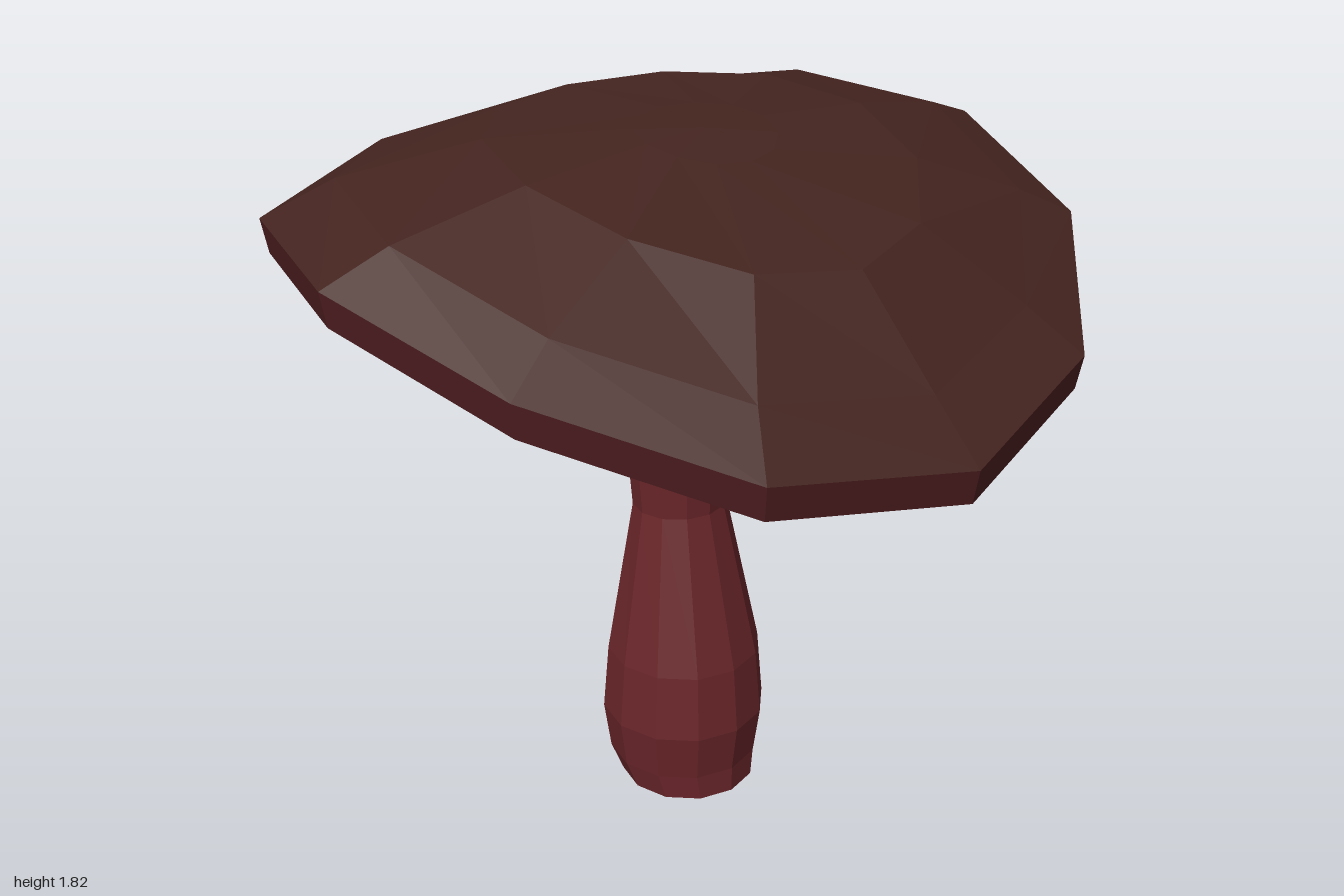
import * as THREE from 'three';

const SIDES = 12;

// Ring: centre x, radii in x and z, height y = a + b*cos + d*cos^2 (tilt and sideways droop), s = front/back tilt
const ring = (cx, rx, rz, a, b = 0, d = 0, s = 0) => ({ cx, rx, rz, a, b, d, s });

function ringPoint(r, angle) {
  const step = (2 * Math.PI) / SIDES;
  const off = angle - Math.floor(angle / step + 1e-6) * step - step / 2;
  const k = Math.cos(step / 2) / Math.cos(off); // keeps points on the twelve-sided outline
  const c = Math.cos(angle) * k, z = Math.sin(angle) * k;
  return [r.cx + r.rx * c, r.a + r.b * c + r.d * c * c + r.s * z, r.rz * z];
}

// Joins rings into a faceted skin; fluting pulls every second column inwards and up
function loft(name, rings, color, segments = SIDES, flute = 0) {
  const pos = [], index = [];
  rings.forEach((r, j) => {
    const last = j === rings.length - 1;
    for (let i = 0; i < segments; i++) {
      const p = ringPoint(r, (i / segments) * 2 * Math.PI);
      if (flute && i % 2 && !last) {
        p[0] = r.cx + (p[0] - r.cx) * 0.92;
        p[2] *= 0.92;
        p[1] += j ? flute : 0;
      }
      pos.push(...p);
      if (last) continue;
      const A = j * segments + i, B = j * segments + ((i + 1) % segments);
      const D = A + segments, C = B + segments;
      index.push(A, D, C, A, C, B);
    }
  });
  const indexed = new THREE.BufferGeometry();
  indexed.setAttribute('position', new THREE.Float32BufferAttribute(pos, 3));
  indexed.setIndex(index);
  const geometry = indexed.toNonIndexed();
  geometry.computeVertexNormals();
  const material = new THREE.MeshStandardMaterial({ color, flatShading: true, side: THREE.DoubleSide });
  const mesh = new THREE.Mesh(geometry, material);
  mesh.name = name;
  return mesh;
}

export function createModel() {
  const model = new THREE.Group();
  model.name = 'mushroom';
  const brown = 0x44241f, red = 0x6a262a, dark = 0x2a1414, gill = 0x98583c;

  // Stem: bulbous foot, slim neck, closed underneath
  model.add(loft('stem', [
    ring(0.02, 0.001, 0.001, 0),
    ring(0.02, 0.18, 0.18, 0),
    ring(0, 0.2, 0.2, 0.07),
    ring(0, 0.218, 0.218, 0.2),
    ring(0, 0.203, 0.203, 0.38),
    ring(-0.015, 0.118, 0.125, 0.8),
    ring(-0.02, 0.13, 0.138, 0.99),
  ], red));

  // Tilted collar around the neck
  model.add(loft('collar', [
    ring(-0.02, 0.11, 0.11, 0.965, -0.02),
    ring(-0.015, 0.135, 0.135, 0.975, -0.02),
    ring(-0.01, 0.2, 0.212, 1.015, -0.03),
    ring(0, 0.15, 0.15, 1.055, -0.02),
    ring(0, 0.1, 0.1, 1.05, -0.02),
  ], brown));

  // Fluted funnel of gills spreading under the cap
  model.add(loft('gills', [
    ring(0, 0.13, 0.13, 1.03, -0.02),
    ring(0, 0.145, 0.145, 1.07, -0.02),
    ring(0.01, 0.24, 0.24, 1.27, -0.035, -0.005),
    ring(0.035, 0.465, 0.465, 1.4, -0.08, -0.03),
    ring(-0.01, 0.69, 0.7, 1.54, -0.115, -0.115, -0.005),
    ring(0, 0.89, 0.92, 1.595, -0.135, -0.25, -0.012),
  ], gill, 72, 0.03));

  // Underside lip of the cap
  model.add(loft('lip', [
    ring(0, 0.88, 0.91, 1.6, -0.135, -0.25, -0.012),
    ring(0, 0.915, 0.945, 1.555, -0.135, -0.25, -0.012),
    ring(0, 0.955, 0.985, 1.55, -0.135, -0.25, -0.012),
  ], dark));

  // Outer edge band
  const rim = ring(0, 0.97, 1, 1.635, -0.135, -0.25, -0.012);
  model.add(loft('rim', [
    ring(0, 0.955, 0.985, 1.55, -0.135, -0.25, -0.012),
    rim,
  ], 0x4e1e20));

  // Drooping cap dome
  model.add(loft('cap', [
    rim,
    ring(0.03, 0.8, 0.84, 1.7, -0.145, -0.175, -0.005),
    ring(0.075, 0.525, 0.515, 1.77, -0.1, -0.07),
    ring(0.08, 0.16, 0.18, 1.8, -0.03, -0.01),
    ring(0.08, 0.001, 0.001, 1.805),
  ], brown));

  return model;
}
